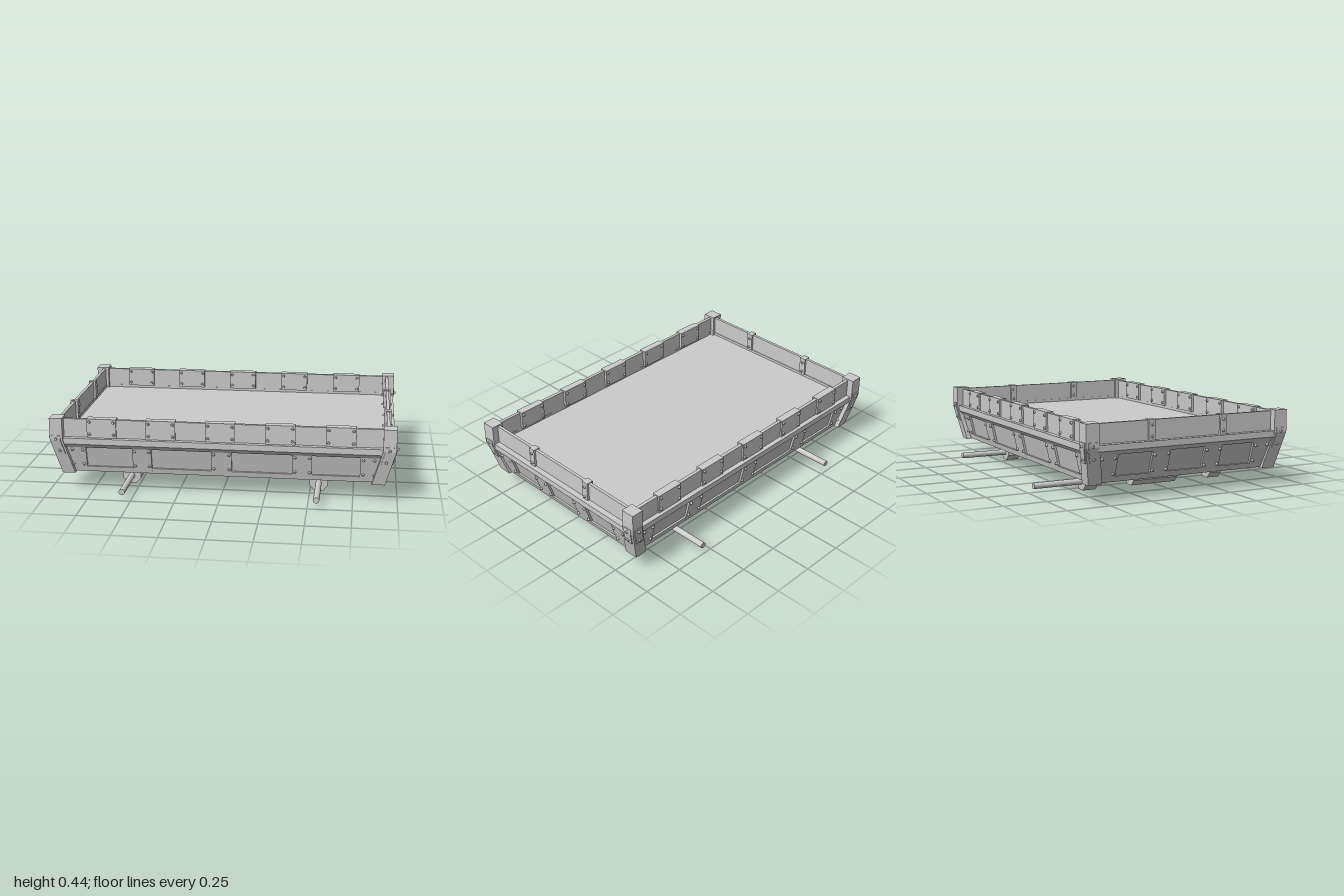
import * as THREE from 'three';

const mat = new THREE.MeshStandardMaterial({ color: 0xcccccc });
const smooth = mat;

function add(parent, name, geo, x = 0, y = 0, z = 0) {
  const m = new THREE.Mesh(geo, smooth);
  m.name = name;
  m.position.set(x, y, z);
  parent.add(m);
  return m;
}

const box = (parent, name, w, h, d, x, y, z) => add(parent, name, new THREE.BoxGeometry(w, h, d), x, y, z);

// Flat-sided solid through rectangles [y, x0, x1, z0, z1], capped at both ends
function loft(sections) {
  const rings = sections.map(([y, x0, x1, z0, z1]) => [[x0, y, z0], [x0, y, z1], [x1, y, z1], [x1, y, z0]]);
  const pos = [];
  const quad = (a, b, c, d) => pos.push(...a, ...b, ...c, ...a, ...c, ...d);
  for (let s = 0; s < rings.length - 1; s++) {
    const lo = rings[s], hi = rings[s + 1];
    for (let i = 0; i < 4; i++) quad(lo[i], lo[(i + 1) % 4], hi[(i + 1) % 4], hi[i]);
  }
  quad(...[...rings[0]].reverse());
  quad(...rings[rings.length - 1]);
  const g = new THREE.BufferGeometry();
  g.setAttribute('position', new THREE.Float32BufferAttribute(pos, 3));
  g.computeVertexNormals();
  return g;
}

const centred = (rows) => loft(rows.map(([y, x, z]) => [y, -x, x, -z, z]));

// Domed bolt head pointing along +z
const boltGeo = new THREE.CylinderGeometry(0.006, 0.01, 0.012, 10).rotateX(Math.PI / 2);
const bolt = (parent, x, y, z) => add(parent, 'bolt', boltGeo, x, y, z);

// Sloping lower side facing +z: riveted plates standing proud of the recessed panels
function lowerSide(name, zLow, zHigh, plates) {
  const side = new THREE.Group();
  side.name = name;
  const slope = new THREE.Group();
  slope.position.set(0, 0.11, zLow);
  slope.rotation.x = Math.atan2(zHigh - zLow, 0.155);
  side.add(slope);
  const h = Math.hypot(0.155, zHigh - zLow);
  for (const [a, b, boltA, boltB] of plates) {
    box(slope, 'sidePlate', b - a, h, 0.02, (a + b) / 2, h / 2, -0.01);
    for (const x of [boltA, boltB]) for (const y of [0.047, 0.142]) bolt(slope, x, y, 0.004);
  }
  return side;
}

// Corner post with bent brackets; sx and sz choose the corner
function cornerPost(sx, sz) {
  const g = new THREE.Group();
  g.name = 'cornerPost';
  const lean = (y) => Math.max(0, (0.315 - y) / 0.21);
  const piece = (name, ys, x0, x1, z0, z1) => add(g, name, loft(ys.map((y) => {
    const dx = 0.057 * lean(y), dz = 0.042 * lean(y);
    const xs = [sx * (x0 - dx), sx * (x1 - dx)].sort((a, b) => a - b);
    const zs = [sz * (z0 - dz), sz * (z1 - dz)].sort((a, b) => a - b);
    return [y, ...xs, ...zs];
  })));
  piece('post', [0.105, 0.315, 0.443], 0.91, 0.984, 0.553, 0.635);
  const ys = [0.228, 0.315, 0.342];
  piece('frontBracket', ys, 0.922, 0.972, 0.62, 0.641);
  piece('endBracket', ys, 0.97, 0.989, 0.568, 0.62);
  for (const y of [0.25, 0.322]) {
    const dx = 0.057 * lean(y), dz = 0.042 * lean(y);
    const front = bolt(g, sx * (0.947 - dx), y, sz * (0.644 - dz));
    const end = bolt(g, sx * (0.992 - dx), y, sz * (0.594 - dz));
    if (sz < 0) front.rotation.y = Math.PI;
    end.rotation.y = sx * Math.PI / 2;
  }
  return g;
}

// Hanger block with chamfered bottom and a narrow seam above the axle
function hangerGeometry(length) {
  const s = new THREE.Shape();
  [[-0.053, 0.115], [-0.053, 0.036], [-0.026, 0.004], [0.026, 0.004], [0.053, 0.036], [0.053, 0.115],
    [0.005, 0.115], [0.005, 0.06], [-0.005, 0.06], [-0.005, 0.115]]
    .forEach(([x, y], i) => (i ? s.lineTo(x, y) : s.moveTo(x, y)));
  return new THREE.ExtrudeGeometry(s, { depth: length, bevelEnabled: false }).translate(0, 0, -length / 2);
}

export function createModel() {
  const model = new THREE.Group();
  model.name = 'cargoTray';

  // Recessed hull, bottom band, and rim whose inner return closes as the floor
  add(model, 'hull', centred([[0.112, 0.898, 0.553], [0.27, 0.948, 0.588]]));
  add(model, 'bottomBand', centred([[0.11, 0.91, 0.565], [0.142, 0.92, 0.572]]));
  add(model, 'rimAndFloor', centred([
    [0.265, 0.96, 0.602], [0.29, 0.98, 0.625], [0.325, 0.98, 0.625], [0.925, 0.575].length && [0.325, 0.925, 0.575],
    [0.308, 0.925, 0.575],
  ]));

  // Riveted lower sides
  const longPlates = [[-0.9, -0.785, -0.865, -0.803], [-0.515, -0.405, -0.502, -0.418], [-0.058, 0.058, -0.045, 0.045],
    [0.405, 0.515, 0.418, 0.502], [0.785, 0.9, 0.803, 0.865]];
  const shortPlates = [[-0.56, -0.43, -0.525, -0.448], [-0.22, -0.11, -0.207, -0.123],
    [0.11, 0.22, 0.123, 0.207], [0.43, 0.56, 0.448, 0.525]];
  for (let i = 0; i < 4; i++) {
    const long = i % 2 === 0;
    const side = long ? lowerSide('longLowerSide', 0.565, 0.6, longPlates) : lowerSide('shortLowerSide', 0.91, 0.96, shortPlates);
    side.rotation.y = i * Math.PI / 2;
    model.add(side);
  }

  // Upper boards with saddle plates and clips
  for (const s of [-1, 1]) {
    box(model, 'longBoard', 1.86, 0.13, 0.02, 0, 0.368, s * 0.586);
    box(model, 'endBoard', 0.018, 0.13, 1.14, s * 0.937, 0.37, 0);
    for (let i = -2; i <= 2; i++) {
      const x = i * 0.341 - 0.006;
      box(model, 'saddlePlate', 0.17, 0.112, 0.046, x, 0.382, s * 0.583);
      for (const dx of [-0.07, 0.07]) for (const y of [0.346, 0.419]) for (const f of [-1, 1]) {
        bolt(model, x + dx, y, s * 0.583 + f * 0.026).rotation.y = f < 0 ? Math.PI : 0;
      }
    }
    for (const z of [-0.227, 0.227]) {
      box(model, 'endClip', 0.044, 0.113, 0.04, s * 0.937, 0.382, z);
      for (const y of [0.346, 0.41]) for (const f of [-1, 1]) {
        bolt(model, s * 0.937 + f * 0.025, y, z).rotation.y = f * Math.PI / 2;
      }
    }
    for (const sz of [-1, 1]) model.add(cornerPost(s, sz));
  }

  // Axles and their hangers
  for (const x of [-0.55, 0.55]) {
    const axle = new THREE.CylinderGeometry(0.0175, 0.0175, 1.48, 20).rotateX(Math.PI / 2);
    add(model, 'axle', axle, x, 0.052, 0);
    for (const [z, length] of [[-0.41, 0.077], [0.003, 0.287], [0.41, 0.077]]) {
      add(model, 'axleHanger', hangerGeometry(length), x, 0, z);
    }
  }
  return model;
}
